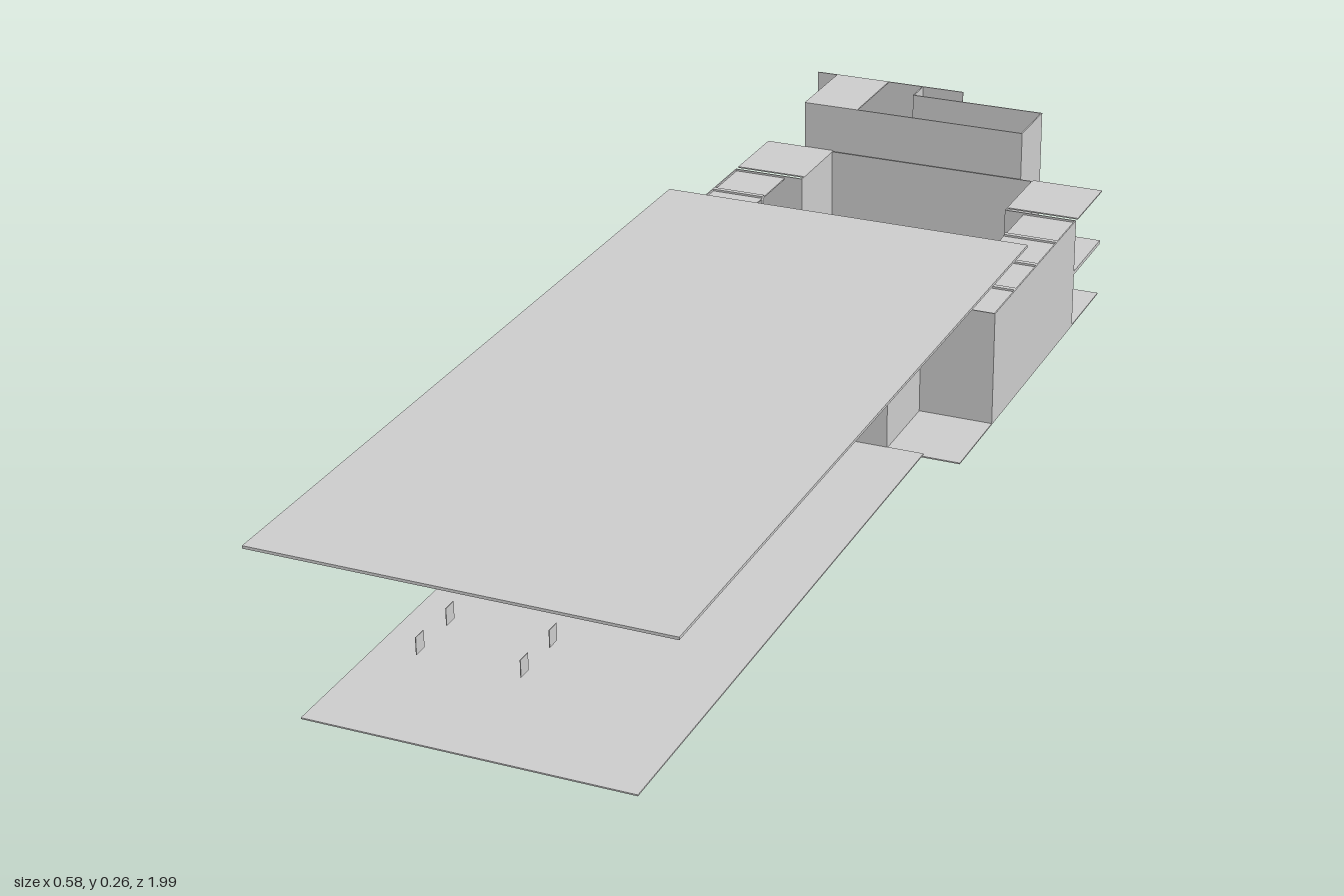
import * as THREE from 'three';

const material = new THREE.MeshStandardMaterial({ color: 0xcccccc, side: THREE.DoubleSide, flatShading: true });
const T = 0.002; // sheet thickness

export function createModel() {
  const model = new THREE.Group();

  // Box given by its lower and upper limits on each axis
  const box = (name, [x0, x1], [y0, y1], [z0, z1], parent = model) => {
    const mesh = new THREE.Mesh(new THREE.BoxGeometry(x1 - x0, y1 - y0, z1 - z0), material);
    mesh.position.set((x0 + x1) / 2, (y0 + y1) / 2, (z0 + z1) / 2);
    mesh.name = name;
    parent.add(mesh);
    return mesh;
  };
  const slab = (name, x, y, z, parent) => box(name, x, [y - T, y], z, parent);
  const wallX = (name, x, y, z, parent) => box(name, [x - T / 2, x + T / 2], y, z, parent);
  const wallZ = (name, x, y, z, parent) => box(name, x, y, [z - T / 2, z + T / 2], parent);

  // Upright wall facing z with a doorway cut out of its lower edge
  const doorWall = (name, [x0, x1], [y0, y1], z, [d0, d1], doorTop) => {
    const shape = new THREE.Shape();
    [[x0, y0], [d0, y0], [d0, doorTop], [d1, doorTop], [d1, y0], [x1, y0], [x1, y1], [x0, y1]]
      .forEach(([x, y], i) => (i ? shape.lineTo(x, y) : shape.moveTo(x, y)));
    const mesh = new THREE.Mesh(new THREE.ExtrudeGeometry(shape, { depth: T, bevelEnabled: false }), material);
    mesh.position.z = z - T / 2;
    mesh.name = name;
    model.add(mesh);
  };

  // Long front hall: roof and floor
  box('hallRoof', [-0.29, 0.287], [0.232, 0.236], [-0.255, 0.995]);
  slab('hallFloor', [-0.228, 0.228], 0.007, [0.015, 0.99]);

  // Hanging plates in two rows along the hall
  for (const x of [-0.07, 0.07]) {
    for (let i = 0; i < 13; i++) {
      const z = 0.04 + i * 0.077;
      box('hangingPlate', [x - 0.0005, x + 0.0005], [0.122, 0.146], [z - 0.01, z + 0.01]);
    }
  }

  // Main room: floor, front wall with doorway, back wall
  const H = 0.181;
  slab('roomFloor', [-0.285, 0.285], 0.005, [-0.635, 0.02]);
  doorWall('frontWall', [-0.172, 0.172], [0.004, H], 0.015, [-0.018, 0.018], 0.073);
  wallZ('backWall', [-0.172, 0.172], [0.004, H], -0.63);
  for (const x of [-0.018, 0.018]) box('doorPost', [x - 0.002, x + 0.002], [0.004, 0.075], [0.01, 0.02]);
  box('doorLintel', [-0.02, 0.02], [0.072, 0.076], [0.01, 0.02]);

  // Side bays on two storeys, alike on both sides
  for (const s of [-1, 1]) {
    const side = new THREE.Group();
    side.name = s > 0 ? 'leftBays' : 'rightBays';
    model.add(side);
    const span = (a, b) => (s > 0 ? [a, b] : [-b, -a]);
    wallX('frontReturnWall', s * 0.171, [0.004, H], [-0.12, 0.015], side);
    wallZ('frontBayWall', span(0.17, 0.285), [0.004, H], -0.12, side);
    wallX('outerWall', s * 0.284, [0.004, H], [-0.5, -0.12], side);
    wallZ('rearBayWall', span(0.17, 0.285), [0.004, H], -0.5, side);
    wallX('rearInnerWall', s * 0.171, [0.004, H], [-0.63, -0.5], side);
    box('middleFloor', span(0.2, 0.285), [0.09, 0.096], [-0.5, -0.12], side);
    box('rearMiddleFloor', span(0.171, 0.285), [0.09, 0.096], [-0.635, -0.5], side);
    slab('rearDeck', span(0.171, 0.285), H, [-0.635, -0.51], side);
    // Partitions and the ceiling panels set between them
    const cuts = [-0.12, -0.215, -0.315, -0.41, -0.5];
    for (let i = 0; i < 4; i++) {
      if (i) box('partition', span(0.2, 0.284), [0.004, H], [cuts[i] - 0.004, cuts[i] + 0.004], side);
      slab('ceilingPanel', span(0.2, 0.284), H - 0.003, [cuts[i + 1], cuts[i]], side);
    }
    box('threshold', span(0.042, 0.097), [0, 0.004], [-0.125, -0.12], side);
  }

  // Stair tower behind the main room, open at the top
  const top = 0.257;
  slab('towerFloor', [-0.07, 0.15], T, [-0.735, -0.635]);
  wallX('towerSideWall', 0.149, [0, top], [-0.735, -0.635]);
  wallX('towerInnerWall', -0.07, [0, 0.125], [-0.735, -0.635]);
  wallZ('towerBackWall', [-0.07, 0.15], [0, top], -0.735);
  wallZ('towerLowerFrontWall', [-0.07, 0.15], [0, H], -0.636);
  wallZ('upperFrontWall', [-0.22, 0.15], [H - 0.06, top], -0.636);
  slab('towerLanding', [-0.07, 0], 0.124, [-0.735, -0.636]);
  for (let i = 0; i < 10; i++) {
    const x = 0.1 - i * 0.01;
    box('stairStep', [x - 0.01, x], [0.012 * i, 0.012 * (i + 1)], [-0.69, -0.64]);
  }

  // Upper back room with a part roof, and the terrace outside its door
  wallX('upperRoomSideWall', -0.22, [0.122, top], [-0.78, -0.636]);
  slab('upperRoomFloor', [-0.22, -0.07], 0.124, [-0.78, -0.636]);
  slab('upperRoomRoof', [-0.22, -0.13], top, [-0.78, -0.636]);
  wallX('upperRoomPartition', -0.07, [0.122, top], [-0.78, -0.735]);
  doorWall('terraceWall', [-0.255, 0], [0.122, top], -0.779, [-0.17, -0.13], 0.195);
  wallX('openDoor', -0.13, [0.124, 0.194], [-0.8, -0.78]);
  slab('terrace', [-0.255, 0], 0.124, [-0.995, -0.78]);

  return model;
}
